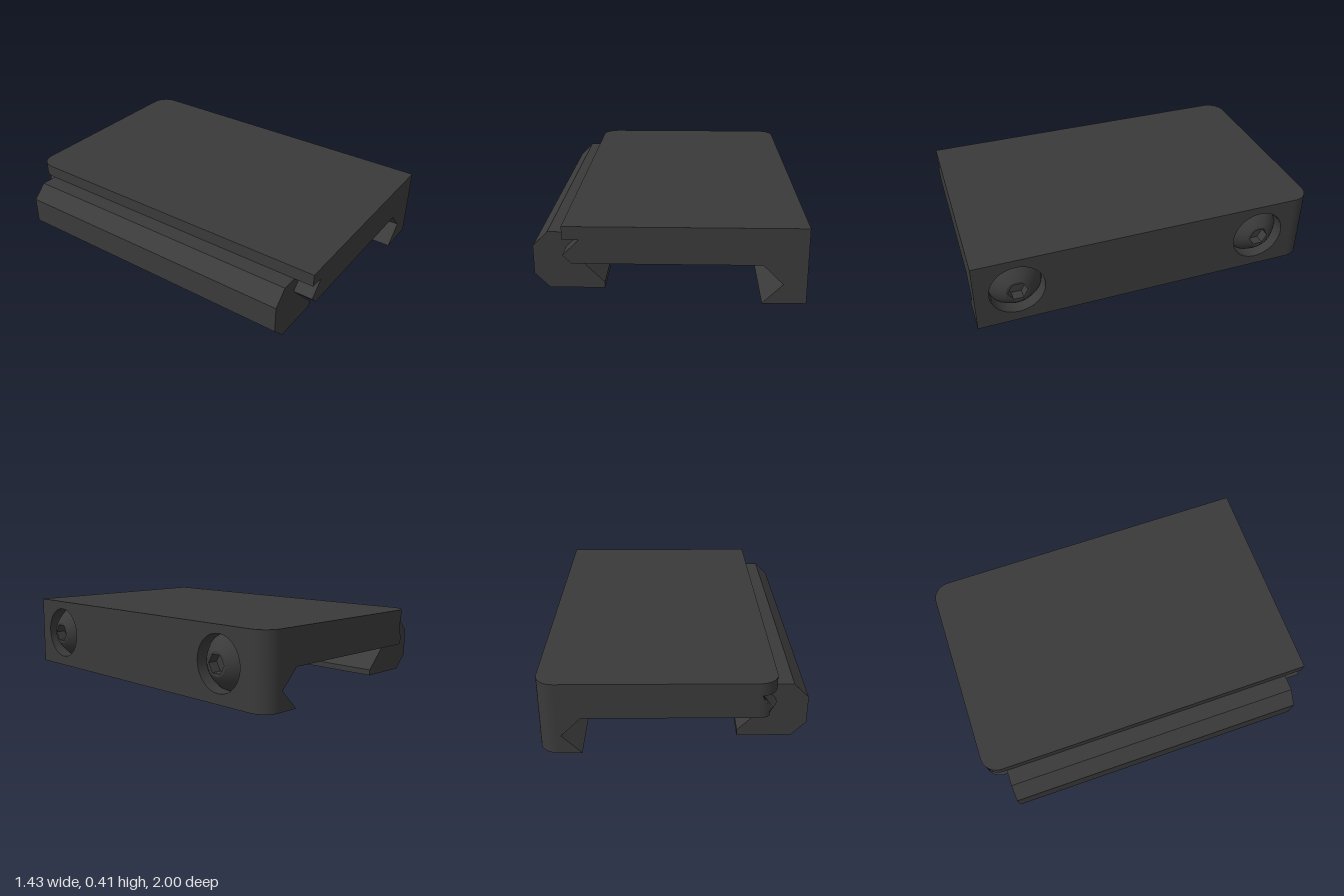
import * as THREE from 'three';
import { toCreasedNormals } from 'three/addons/utils/BufferGeometryUtils.js';

const darkMetal = new THREE.MeshStandardMaterial({ color: 0x3a3a3a });
darkMetal.name = 'dark metal';

const HEIGHT = 0.415, RIGHT = 0.703, LEFT = -0.543, CORNER = 0.1;
const SCREW_Z = [0.765, -0.675], SCREW_Y = 0.213, HOLE_R = 0.155;
const HEX_R = 0.056;

// cross-section of the body, counter-clockwise seen from the front
const bodyProfile = [
  [RIGHT, 0], [RIGHT, HEIGHT], [LEFT, HEIGHT], [LEFT, 0.342], [-0.458, 0.342],
  [LEFT, 0.258], [-0.498, 0.213], [0.475, 0.213], [0.581, 0.107], [0.475, 0],
];
const clampProfile = [
  [-0.458, 0.342], [-0.637, 0.342], [-0.717, 0.262], [-0.717, 0.107],
  [-0.637, 0.025], [-0.345, 0.025], [-0.345, 0.058], [LEFT, 0.258],
];

const toShape = (pts) => new THREE.Shape(pts.map(([x, y]) => new THREE.Vector2(x, y)));

function addMesh(parent, name, geometry) {
  const mesh = new THREE.Mesh(geometry, darkMetal);
  mesh.name = name;
  parent.add(mesh);
  return mesh;
}

// lathe whose axis points along +z
function lathe(pts, segments, phi = 0) {
  const geo = new THREE.LatheGeometry(pts.map(([r, h]) => new THREE.Vector2(r, h)), segments, phi);
  return toCreasedNormals(geo.rotateX(Math.PI / 2), 0.45);
}

// profile with its sides pulled in by an amount
const insetProfile = (inset) => bodyProfile.map(([x, y]) =>
  [Math.min(RIGHT - inset, Math.max(LEFT + inset, x)), y]);

function bodyWalls() {
  const sections = [{ z: 1, pts: bodyProfile }];
  const steps = 10;
  for (let k = 0; k <= steps; k++) {
    const a = (k / steps) * Math.PI / 2;
    sections.push({
      z: -1 + CORNER - CORNER * Math.sin(a),
      pts: insetProfile(CORNER * (1 - Math.cos(a))),
    });
  }
  const pos = [];
  const n = bodyProfile.length;
  for (let s = 0; s < sections.length - 1; s++) {
    const A = sections[s], B = sections[s + 1];
    for (let i = 0; i < n; i++) {
      if (s === 0 && i === 0) continue; // flat right wall has its own pierced panel
      const j = (i + 1) % n;
      const ai = [...A.pts[i], A.z], aj = [...A.pts[j], A.z];
      const bi = [...B.pts[i], B.z], bj = [...B.pts[j], B.z];
      pos.push(...ai, ...bi, ...aj, ...aj, ...bi, ...bj);
    }
  }
  const geo = new THREE.BufferGeometry();
  geo.setAttribute('position', new THREE.Float32BufferAttribute(pos, 3));
  return toCreasedNormals(geo, 0.45);
}

function makeBody() {
  const body = new THREE.Group();
  body.name = 'mountBody';
  addMesh(body, 'bodyWalls', bodyWalls());
  addMesh(body, 'frontFace', new THREE.ShapeGeometry(toShape(bodyProfile))).position.z = 1;

  // back face, mirrored in x and turned round
  const backPts = insetProfile(CORNER).map(([x, y]) => [-x, y]).reverse();
  const back = addMesh(body, 'backFace', new THREE.ShapeGeometry(toShape(backPts)));
  back.rotation.y = Math.PI;
  back.position.z = -1;

  // right wall with screw holes
  const wall = toShape([[-1, 0], [1 - CORNER, 0], [1 - CORNER, HEIGHT], [-1, HEIGHT]]);
  for (const z of SCREW_Z) {
    wall.holes.push(new THREE.Path().absarc(-z, SCREW_Y, HOLE_R, 0, Math.PI * 2, true));
  }
  const panel = addMesh(body, 'rightWall', new THREE.ShapeGeometry(wall, 24));
  panel.rotation.y = Math.PI / 2;
  panel.position.x = RIGHT;
  return body;
}

// button-head screw sunk in a round recess, facing +z
function makeScrew() {
  const screw = new THREE.Group();
  screw.name = 'screw';
  addMesh(screw, 'recess', lathe([[HOLE_R, 0], [HOLE_R, -0.085], [0, -0.085]], 48));

  const dome = [[0.147, -0.085], [0.147, -0.065]];
  for (let k = 1; k <= 8; k++) {
    const r = 0.147 + (0.065 - 0.147) * (k / 8);
    const t = (0.147 ** 2 - r * r) / (0.147 ** 2 - 0.065 ** 2);
    dome.push([r, -0.065 + 0.077 * t]);
  }
  addMesh(screw, 'screwHead', lathe(dome, 48));

  // flat top with a hexagonal socket
  const top = new THREE.Shape().absarc(0, 0, 0.065, 0, Math.PI * 2, false);
  const hex = [];
  for (let k = 0; k < 6; k++) {
    const a = -k * Math.PI / 3;
    hex.push(new THREE.Vector2(HEX_R * Math.cos(a), HEX_R * Math.sin(a)));
  }
  top.holes.push(new THREE.Path(hex));
  addMesh(screw, 'screwTop', new THREE.ShapeGeometry(top, 24)).position.z = 0.012;
  addMesh(screw, 'hexSocket',
    lathe([[HEX_R, 0.012], [HEX_R, -0.045], [0, -0.045]], 6, Math.PI / 6));
  return screw;
}

export function createModel() {
  const model = new THREE.Group();
  model.name = 'railMount';
  model.add(makeBody());

  // sliding clamp bar on the model's right
  const clampGeo = new THREE.ExtrudeGeometry(toShape(clampProfile), { depth: 1.77, bevelEnabled: false });
  addMesh(model, 'clampBar', clampGeo).position.z = -0.88;

  for (const z of SCREW_Z) {
    const screw = makeScrew();
    screw.rotation.y = Math.PI / 2;
    screw.position.set(RIGHT, SCREW_Y, z);
    model.add(screw);
  }
  return model;
}
